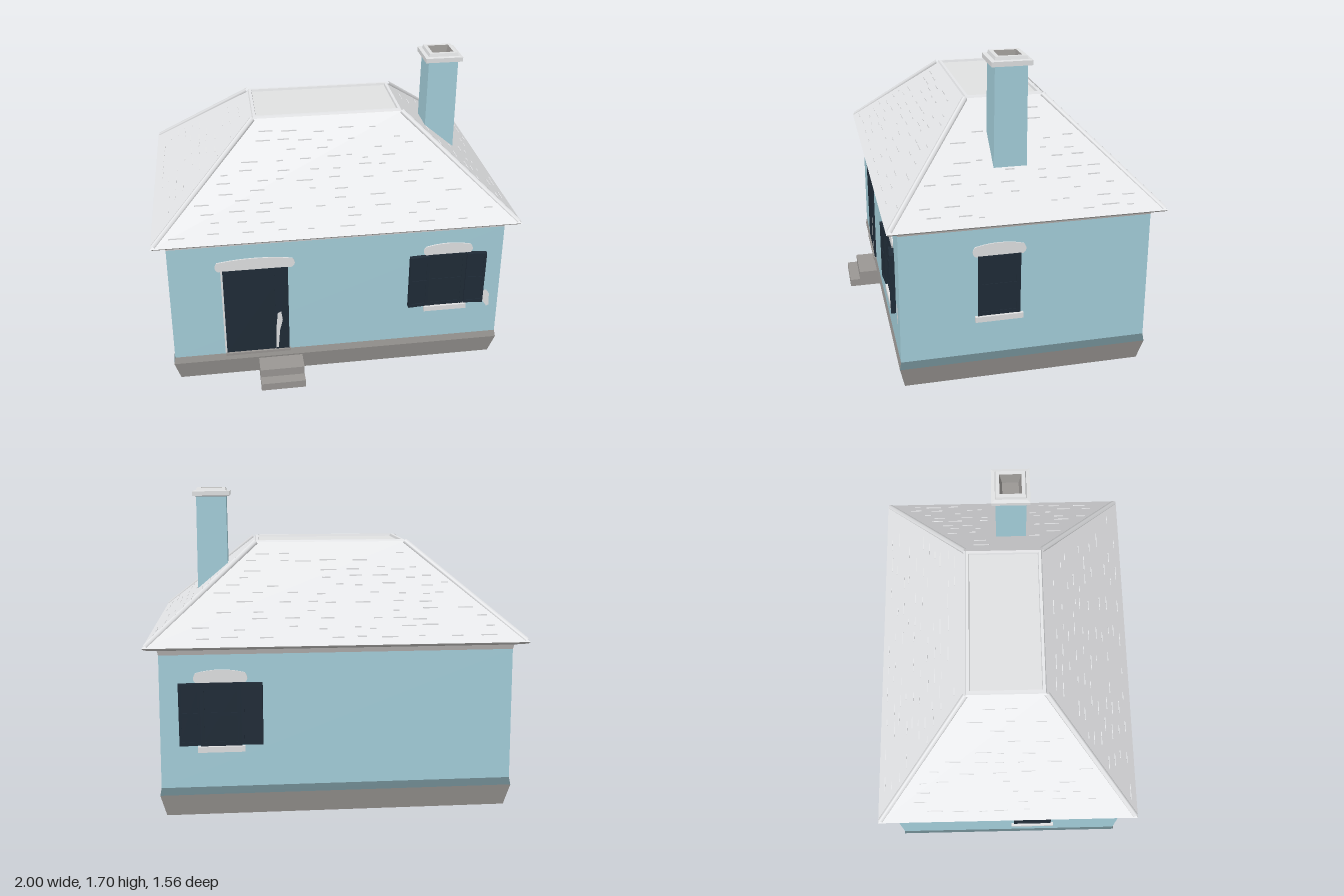
import * as THREE from 'three';

const mat = (name, color) => {
  const m = new THREE.MeshStandardMaterial({ color });
  m.name = name;
  return m;
};

export function createModel() {
  const wall = mat('blue plaster', 0xa3cdd9);
  const band = mat('damp plaster', 0x6b858c);
  const stone = mat('foundation stone', 0x999693);
  const slate = mat('pale roof', 0xe4e5e7);
  const trim = mat('light trim', 0xdfe0e1);
  const weathered = mat('weathered trim', 0xbdbbb9);
  const dark = mat('dark paint', 0x1f2b37);

  const house = new THREE.Group();
  house.name = 'house';

  const add = (parent, name, geometry, material, x = 0, y = 0, z = 0) => {
    const mesh = new THREE.Mesh(geometry, material);
    mesh.name = name;
    mesh.position.set(x, y, z);
    parent.add(mesh);
    return mesh;
  };
  const box = (parent, name, w, h, d, m, x, y, z) =>
    add(parent, name, new THREE.BoxGeometry(w, h, d), m, x, y, z);

  // Skin over rectangular rings [halfX, zFront, zBack, y]; cap is 'top', 'bottom' or none
  const corners = ([x, f, b, y]) => [[x, y, f], [x, y, b], [-x, y, b], [-x, y, f]];
  const skin = (rings, cap) => {
    const pos = [];
    const quad = (a, b, c, d) => [a, b, c, a, c, d].forEach((p) => pos.push(...p));
    const loops = rings.map(corners);
    for (let i = 0; i + 1 < loops.length; i++) {
      for (let k = 0; k < 4; k++) {
        const n = (k + 1) % 4;
        quad(loops[i][k], loops[i][n], loops[i + 1][n], loops[i + 1][k]);
      }
    }
    if (cap === 'top') quad(...loops[loops.length - 1]);
    if (cap === 'bottom') quad(...[...loops[0]].reverse());
    const g = new THREE.BufferGeometry();
    g.setAttribute('position', new THREE.Float32BufferAttribute(pos, 3));
    g.computeVertexNormals();
    return g;
  };
  const square = (h, y) => [h, h, -h, y];
  // Single band whose front side has its own colour
  const twoTone = (name, low, high, sides, front) => {
    const g = skin([low, high]);
    g.addGroup(0, 18, 0);
    g.addGroup(18, 6, 1);
    add(house, name, g, [sides, front]);
  };

  // Foundation and walls
  const foot = [0.91, 0.585, -0.705, 0];
  const ledge = [0.94, 0.612, -0.73, 0.12];
  const wallFoot = [0.932, 0.604, -0.724, 0.16];
  const wallTop = [0.925, 0.6, -0.72, 0.872];
  const friezeTop = [0.93, 0.606, -0.726, 0.897];
  add(house, 'foundation', skin([foot, ledge], 'bottom'), stone);
  twoTone('wallBand', ledge, wallFoot, band, stone);
  add(house, 'walls', skin([wallFoot, wallTop]), wall);

  // Frieze, eaves, hipped roof and flat top with a raised curb
  const eave = [1, 0.66, -0.78, 0.92];
  const crown = [0.42, 0.158, -0.27, 1.405];
  twoTone('frieze', wallTop, friezeTop, weathered, trim);
  add(house, 'eaves', skin([friezeTop, [0.99, 0.65, -0.77, 0.91], eave]), weathered);
  add(house, 'roof', skin([eave, crown]), slate);
  add(house, 'roofCurb', skin([crown, [0.415, 0.153, -0.265, 1.415], [0.4, 0.138, -0.25, 1.415],
    [0.397, 0.135, -0.247, 1.402]]), slate);
  add(house, 'flatTop', skin([[0.397, 0.135, -0.247, 1.402]], 'top'), trim);

  // Rounded ridges along the four hips
  const low = corners([0.985, 0.645, -0.765, 0.925]);
  const high = corners(crown);
  low.forEach((p, i) => {
    const line = new THREE.LineCurve3(new THREE.Vector3(...p), new THREE.Vector3(...high[i]));
    add(house, 'hipRidge', new THREE.TubeGeometry(line, 1, 0.016, 6), slate);
  });

  // Scattered slate lips in rows on each slope
  let seed = 7;
  const rnd = () => (seed = (seed * 16807) % 2147483647) / 2147483647;
  const slates = new THREE.Group();
  slates.name = 'slateEdges';
  house.add(slates);
  for (let row = 0; row < 11; row++) {
    const t = 0.08 + row * 0.08;
    const [hx, zf, zb, y] = eave.map((v, i) => THREE.MathUtils.lerp(v, crown[i], t));
    for (let side = 0; side < 4; side++) {
      const long = side < 2;
      const start = long ? -hx + 0.05 : zb + 0.05;
      const end = long ? hx - 0.05 : zf - 0.05;
      for (let s = start + rnd() * 0.1; s < end;) {
        const w = 0.03 + rnd() * 0.06;
        if (s + w > end) break;
        const mid = s + w / 2;
        const nearChimney = side === 2 && Math.abs(mid + 0.01) < 0.13 && t > 0.4;
        if (rnd() < 0.75 && !nearChimney) {
          const yy = y + (rnd() - 0.5) * 0.016;
          const off = (y - yy) * 1.05;
          if (long) {
            box(slates, 'slateEdge', w, 0.009, 0.004, slate, mid, yy, side ? zb - off : zf + off);
          } else {
            box(slates, 'slateEdge', 0.004, 0.009, w, slate, side === 2 ? hx + off : -hx - off, yy, mid);
          }
        }
        s += w + 0.03 + rnd() * 0.12;
      }
    }
  }

  // Chimney with a hollow cap
  const chimney = new THREE.Group();
  chimney.name = 'chimney';
  chimney.position.set(0.665, 0, -0.01);
  house.add(chimney);
  add(chimney, 'chimneyStack', skin([square(0.088, 1.0), square(0.084, 1.66)]), wall);
  add(chimney, 'chimneyCap', skin([square(0.08, 1.65), square(0.105, 1.655), square(0.105, 1.68),
    square(0.085, 1.683), square(0.08, 1.7), square(0.06, 1.7)]), trim);
  add(chimney, 'flue', skin([square(0.06, 1.7), square(0.045, 1.64)], 'top'), stone);

  // Thin rounded lintel, slightly arched
  const lintel = (parent, w, y) => {
    const h = w / 2;
    const s = new THREE.Shape();
    s.moveTo(-h + 0.02, 0);
    s.lineTo(h - 0.02, 0);
    s.quadraticCurveTo(h + 0.01, 0.02, h - 0.015, 0.055);
    s.quadraticCurveTo(0, 0.088, -h + 0.015, 0.055);
    s.quadraticCurveTo(-h - 0.01, 0.02, -h + 0.02, 0);
    add(parent, 'lintel', new THREE.ExtrudeGeometry(s, { depth: 0.007, bevelEnabled: false }), trim, 0, y, 0);
  };

  // Window facing +z, built at its own origin
  const makeWindow = (name, w, shutters) => {
    const g = new THREE.Group();
    g.name = name;
    lintel(g, w + (shutters ? 0.07 : 0.06), 0.722);
    box(g, 'glass', w, 0.34, 0.008, dark, 0, 0.555, 0.004);
    for (const s of [-1, 1]) box(g, 'sashStile', 0.022, 0.34, 0.012, dark, s * (w / 2 - 0.011), 0.555, 0.005);
    for (const y of [0.397, 0.555, 0.715]) box(g, 'sashRail', w, 0.022, 0.012, dark, 0, y, 0.005);
    box(g, 'sill', w + 0.03, 0.03, 0.035, trim, 0, 0.37, 0.006);
    if (shutters) {
      for (const s of [-1, 1]) {
        const leaf = new THREE.Group();
        leaf.name = 'shutter';
        leaf.position.set(s * 0.162, 0.56, 0.015);
        leaf.rotation.y = -s * 0.08;
        g.add(leaf);
        box(leaf, 'shutterPanel', 0.11, 0.33, 0.018, dark, 0, 0, 0);
        for (const e of [-1, 1]) box(leaf, 'shutterStile', 0.014, 0.33, 0.026, dark, e * 0.048, 0, 0);
        for (const y of [-0.155, 0, 0.155]) box(leaf, 'shutterRail', 0.1, 0.02, 0.026, dark, 0, y, 0);
      }
    }
    house.add(g);
    return g;
  };
  makeWindow('frontWindow', 0.215, true).position.set(0.613, 0, 0.602);
  const back = makeWindow('backWindow', 0.215, true);
  back.position.set(0.613, 0, -0.722);
  back.rotation.y = Math.PI;
  for (const s of [-1, 1]) {
    const side = makeWindow('sideWindow', 0.225, false);
    side.position.set(s * 0.925, 0, 0.085);
    side.rotation.y = s * Math.PI / 2;
  }

  // Worn plaster beside the front window
  const patch = new THREE.Shape([[0.83, 0.455], [0.835, 0.39], [0.865, 0.345], [0.88, 0.35], [0.875, 0.43],
    [0.855, 0.46]].map((p) => new THREE.Vector2(...p)));
  add(house, 'plasterPatch', new THREE.ShapeGeometry(patch), trim, 0, 0, 0.606);

  // Front door with jamb, closing stile and a worn patch
  const door = new THREE.Group();
  door.name = 'door';
  door.position.set(-0.46, 0, 0.602);
  house.add(door);
  lintel(door, 0.44, 0.718);
  box(door, 'doorLeaf', 0.355, 0.55, 0.01, dark, 0, 0.445, 0.003);
  box(door, 'doorJamb', 0.01, 0.55, 0.012, trim, -0.183, 0.445, 0);
  box(door, 'doorStile', 0.075, 0.55, 0.016, dark, 0.14, 0.445, 0.003);
  const worn = new THREE.Shape([[0.1, 0.18], [0.115, 0.18], [0.125, 0.3], [0.142, 0.37], [0.135, 0.43],
    [0.115, 0.42], [0.105, 0.32]].map((p) => new THREE.Vector2(...p)));
  add(door, 'wornPatch', new THREE.ShapeGeometry(worn), trim, 0, 0, 0.013);
  box(door, 'threshold', 0.37, 0.015, 0.03, stone, 0, 0.162, 0.004);

  // Two entrance steps
  box(house, 'upperStep', 0.25, 0.05, 0.14, stone, -0.335, 0.085, 0.65);
  box(house, 'lowerStep', 0.25, 0.045, 0.2, stone, -0.335, 0.0375, 0.68);

  return house;
}
